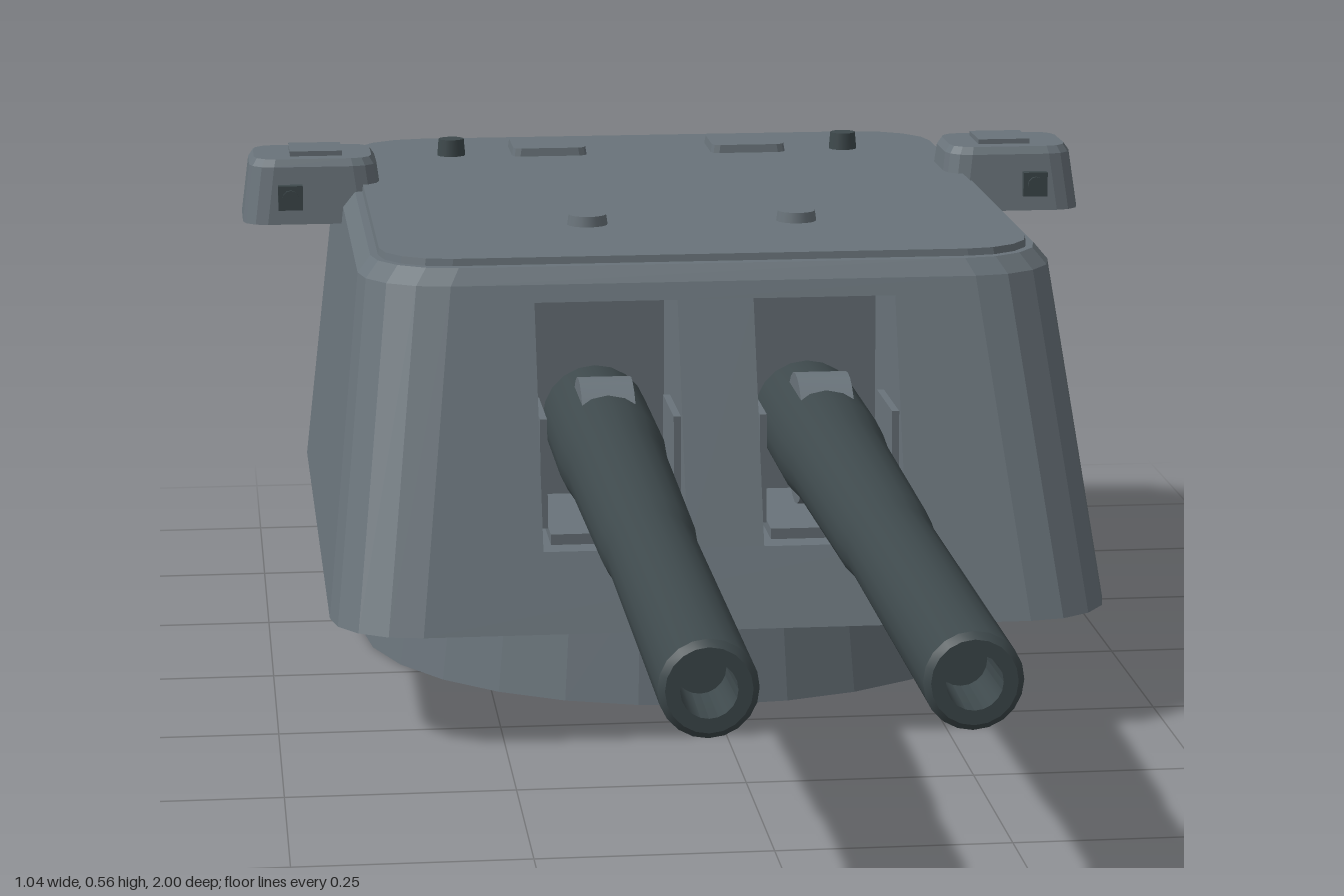
import * as THREE from 'three';
import { toCreasedNormals } from 'three/addons/utils/BufferGeometryUtils.js';

const hullGrey = new THREE.MeshStandardMaterial({ color: 0x69737a });
hullGrey.name = 'hull grey';
const gunGrey = new THREE.MeshStandardMaterial({ color: 0x3e494c });
gunGrey.name = 'gun grey';

// Rounded rectangle in plan: half width, front z, back z, corner radii; starts and ends on the front edge
function ring(y, hw, zf, zb, rf, rb, cx = 0, steps = 4) {
  const pts = [];
  const corners = [[1, zf - rf, rf], [1, zb + rb, rb], [-1, zb + rb, rb], [-1, zf - rf, rf]];
  corners.forEach(([s, cz, r], c) => {
    for (let i = 0; i <= steps; i++) {
      const a = (c + i / steps) * Math.PI / 2;
      pts.push([cx + s * (hw - r) + r * Math.sin(a), y, cz + r * Math.cos(a)]);
    }
  });
  return pts;
}

// Skin a stack of rings with flat faces; openFront leaves out the closing face of the first band
function loft(rings, { start = true, end = true, openFront = false } = {}) {
  const pos = [];
  const tri = (a, b, c) => pos.push(...a, ...b, ...c);
  for (let k = 0; k < rings.length - 1; k++) {
    const A = rings[k], B = rings[k + 1], n = A.length;
    for (let j = 0; j < n; j++) {
      if (openFront && k === 0 && j === n - 1) continue;
      const m = (j + 1) % n;
      tri(A[j], A[m], B[m]);
      tri(A[j], B[m], B[j]);
    }
  }
  const S = rings[0], E = rings[rings.length - 1];
  for (let j = 1; j < S.length - 1; j++) {
    if (start) tri(S[0], S[j + 1], S[j]);
    if (end) tri(E[0], E[j], E[j + 1]);
  }
  const g = new THREE.BufferGeometry();
  g.setAttribute('position', new THREE.Float32BufferAttribute(pos, 3));
  g.computeVertexNormals();
  return g;
}

const Y0 = 0.13, Y1 = 0.497;
const slopeZ = (y) => 0.09 - 0.145 * (y - Y0) / (Y1 - Y0);

export function createModel() {
  const model = new THREE.Group();
  model.name = 'gunTurret';
  const add = (name, geo, mat, x = 0, y = 0, z = 0, parent = model) => {
    const m = new THREE.Mesh(geo, mat);
    m.name = name;
    m.position.set(x, y, z);
    parent.add(m);
    return m;
  };

  // Round base
  const base = new THREE.CylinderGeometry(0.368, 0.388, Y0, 28).toNonIndexed();
  base.computeVertexNormals();
  add('base', base, hullGrey, 0, Y0 / 2, -0.453);

  // Armoured house with a chamfered top edge
  add('house', loft([
    ring(Y0, 0.44, 0.09, -1, 0.1, 0.13),
    ring(Y1, 0.397, slopeZ(Y1), -0.99, 0.1, 0.12),
    ring(0.515, 0.382, -0.07, -0.975, 0.095, 0.11),
  ], { openFront: true }), hullGrey);
  add('roofPlate', loft([
    ring(0.51, 0.374, -0.083, -0.963, 0.08, 0.09),
    ring(0.523, 0.372, -0.085, -0.961, 0.08, 0.09),
  ]), hullGrey);

  // Sloped front plate with two gun ports
  const x0 = 0.043, x1 = 0.204, py0 = 0.216, py1 = 0.478;
  const front = new THREE.Shape([[-0.34, Y0], [0.34, Y0], [0.297, Y1], [-0.297, Y1]]
    .map((p) => new THREE.Vector2(...p)));
  const ports = [[x0, x1], [-x1, -x0]];
  ports.forEach(([a, b]) => front.holes.push(new THREE.Path(
    [[a, py0], [a, py1], [b, py1], [b, py0]].map((p) => new THREE.Vector2(...p)))));
  const frontGeo = new THREE.ShapeGeometry(front);
  const fp = frontGeo.attributes.position;
  for (let i = 0; i < fp.count; i++) fp.setZ(i, slopeZ(fp.getY(i)));
  frontGeo.computeVertexNormals();
  add('frontPlate', frontGeo, hullGrey);

  // Gun profile: radius against distance forward, ending in a hollow muzzle
  const gunProfile = [[0, -0.2], [0.061, -0.2], [0.061, 0.02], [0.056, 0.1], [0.051, 0.43], [0.0475, 0.48],
    [0.0475, 0.993], [0.041, 1], [0.027, 1], [0.025, 0.92], [0, 0.92]].map((p) => new THREE.Vector2(...p));
  const gunGeo = toCreasedNormals(new THREE.LatheGeometry(gunProfile, 20), 0.6);
  gunGeo.rotateX(Math.PI / 2);
  const cradleGeo = new THREE.CylinderGeometry(0.075, 0.075, 0.06, 24);
  cradleGeo.rotateZ(Math.PI / 2);

  ports.forEach(([a, b]) => {
    const mid = (a + b) / 2;
    const gun = new THREE.Group();
    gun.name = 'gunMount';
    model.add(gun);
    // Recess behind the port
    const rect = (zOf) => [[a, py0], [b, py0], [b, py1], [a, py1]].map(([x, y]) => [x, y, zOf(y)]);
    add('portRecess', loft([rect(slopeZ), rect(() => -0.2)], { start: false }), hullGrey, 0, 0, 0, gun);
    add('barrel', gunGeo, gunGrey, mid, 0.313, 0, gun);
    add('cradle', toCreasedNormals(cradleGeo, 0.6), hullGrey, mid, 0.311, -0.07, gun);
    // Low cheeks and sill inside the port
    for (const s of [-1, 1]) {
      add('cheek', new THREE.BoxGeometry(0.008, 0.125, 0.12), hullGrey, mid + s * 0.075, 0.292, -0.06, gun);
    }
    add('sill', new THREE.BoxGeometry(0.142, 0.012, 0.2), hullGrey, mid, 0.226, -0.06, gun);
  });

  for (const s of [-1, 1]) {
    // Rangefinder ear with hatch and lens
    const ear = new THREE.Group();
    ear.name = 'rangefinder';
    model.add(ear);
    const cx = s * 0.432;
    add('rangefinderHood', loft([
      ring(0.477, 0.087, -0.595, -0.738, 0.03, 0.03, cx, 3),
      ring(0.546, 0.078, -0.606, -0.732, 0.03, 0.03, cx, 3),
      ring(0.555, 0.072, -0.612, -0.726, 0.026, 0.026, cx, 3),
    ]), hullGrey, 0, 0, 0, ear);
    add('rangefinderHatch', new THREE.BoxGeometry(0.064, 0.008, 0.07), hullGrey, s * 0.428, 0.557, -0.669, ear);
    add('lensBox', new THREE.BoxGeometry(0.03, 0.03, 0.025), gunGrey, s * 0.461, 0.51, -0.603, ear);
    const lens = new THREE.CylinderGeometry(0.01, 0.01, 0.004, 12);
    lens.rotateX(Math.PI / 2);
    add('lens', lens, gunGrey, s * 0.461, 0.51, -0.589, ear);

    // Roof fittings
    add('roofHatch', loft([
      ring(0.52, 0.048, 0.048, -0.048, 0.01, 0.01, 0, 2),
      ring(0.533, 0.046, 0.046, -0.046, 0.01, 0.01, 0, 2),
    ]), hullGrey, s * 0.127, 0, -0.848);
    add('periscope', new THREE.CylinderGeometry(0.016, 0.018, 0.024, 12), gunGrey, s * 0.251, 0.532, -0.824);
    add('roofVent', new THREE.CylinderGeometry(0.022, 0.024, 0.014, 16), hullGrey, s * 0.123, 0.528, -0.295);
  }
  return model;
}
